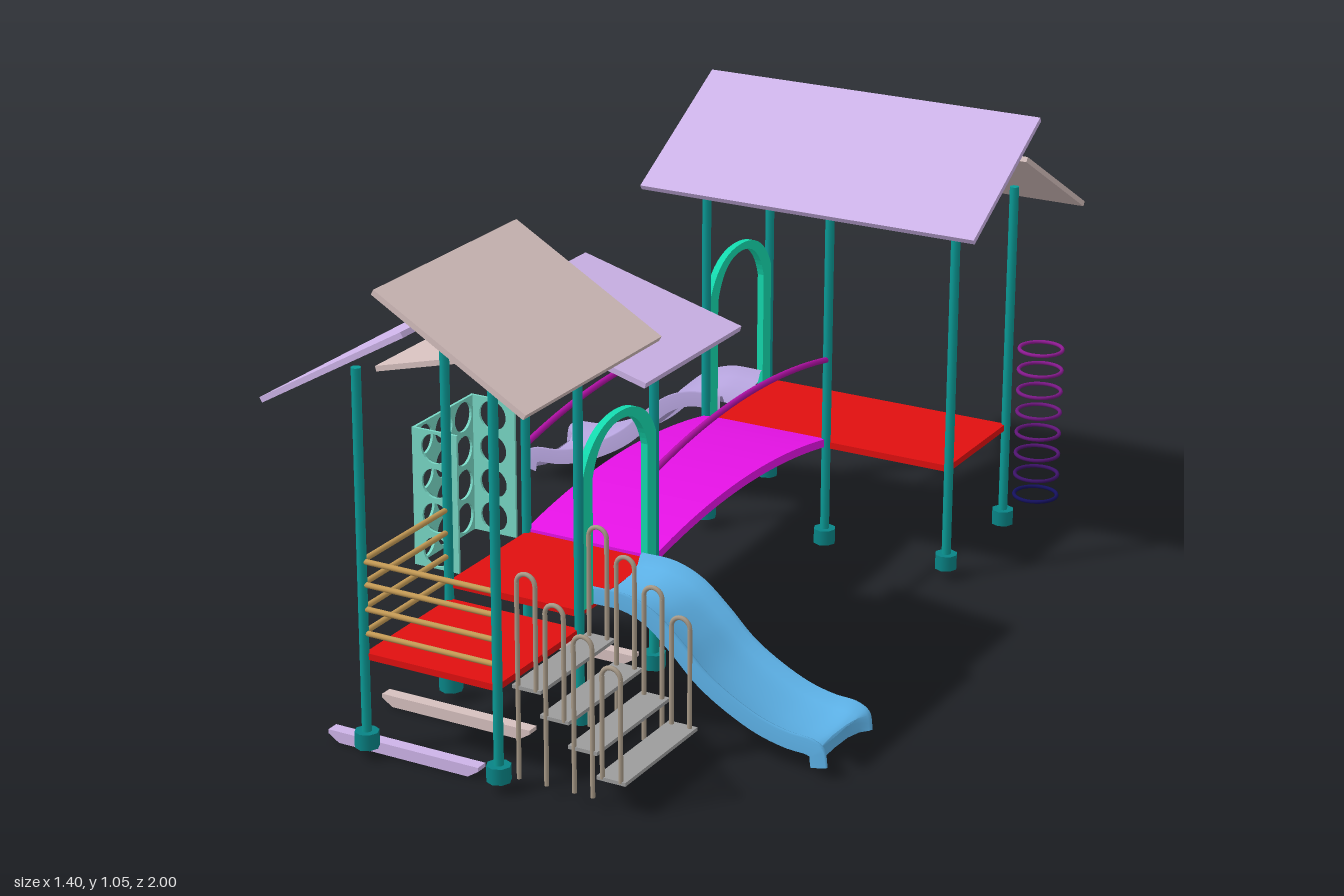
import * as THREE from 'three';

const mat = (color, side = THREE.FrontSide) => new THREE.MeshStandardMaterial({ color, side });
const TEAL = mat(0x0a9a96), FOOT = mat(0x088486), RED = mat(0xe01010), LAVENDER = mat(0xcdb3e8),
  PINK = mat(0xd6c0be), GREEN = mat(0x14dcb0), MAGENTA = mat(0xe612e6), RAIL = mat(0xb010a4),
  ORANGE = mat(0xc49a55), GREY = mat(0x9c9c9c), ROD = mat(0xa89a88), BUBBLE = mat(0x78d8c6),
  BLUE = mat(0x5db2e8, THREE.DoubleSide), LILAC = mat(0xb5a3dc, THREE.DoubleSide);

const V = (x, y, z) => new THREE.Vector3(x, y, z);

export function createModel() {
  const model = new THREE.Group();

  function add(name, geo, material, pos = [0, 0, 0], parent = model) {
    const m = new THREE.Mesh(geo, material);
    m.name = name;
    m.position.set(...pos);
    parent.add(m);
    return m;
  }
  // Box given by its min and max corners
  const box = (name, material, x0, x1, y0, y1, z0, z1) =>
    add(name, new THREE.BoxGeometry(x1 - x0, y1 - y0, z1 - z0), material,
      [(x0 + x1) / 2, (y0 + y1) / 2, (z0 + z1) / 2]);
  // Straight round bar between two points
  function bar(name, a, b, r, material) {
    const m = add(name, new THREE.CylinderGeometry(r, r, a.distanceTo(b), 10), material);
    m.position.copy(a).lerp(b, 0.5);
    m.quaternion.setFromUnitVectors(V(0, 1, 0), b.clone().sub(a).normalize());
  }

  // Posts with footings: x, z, top
  const L = -0.16, R = 0.155, FAR = 0.465;
  const posts = [
    [L, 0.9, 0.84], [R, 0.9, 0.895], [L, 0.585, 0.84], [R, 0.585, 0.895],
    [L, 0.277, 0.735], [R, 0.277, 0.8],
    [L, -0.52, 0.895], [R, -0.52, 0.895], [FAR, -0.52, 0.895], [L, -0.83, 0.845], [FAR, -0.83, 0.845],
  ];
  for (const [x, z, top] of posts) {
    bar('post', V(x, 0.025, z), V(x, top, z), 0.0105, TEAL);
    add('postFooting', new THREE.CylinderGeometry(0.026, 0.026, 0.035, 8), FOOT, [x, 0.04, z]);
  }

  // Decks
  box('frontDeck', RED, L, R, 0.216, 0.23, 0.585, 0.9);
  box('middleDeck', RED, L, R, 0.255, 0.27, 0.277, 0.585);
  box('backDeck', RED, L, FAR, 0.255, 0.27, -0.83, -0.52);

  // Roofs: tilted panels described by their end points, across a given depth
  function roofPanel(parent, x0, y0, x1, y1, z0, z1, material) {
    const t = 0.012;
    const m = add('roofPanel', new THREE.BoxGeometry(Math.hypot(x1 - x0, y1 - y0), t, z1 - z0), material,
      [(x0 + x1) / 2, (y0 + y1) / 2, (z0 + z1) / 2], parent);
    m.rotation.z = Math.atan2(y1 - y0, x1 - x0);
  }
  const roof = (name) => {
    const g = new THREE.Group();
    g.name = name;
    model.add(g);
    return g;
  };
  const frontRoof = roof('frontRoof');
  roofPanel(frontRoof, -0.318, 0.775, 0.017, 0.967, 0.485, 1, LAVENDER);
  roofPanel(frontRoof, -0.048, 1.042, 0.288, 0.85, 0.485, 1, PINK);
  const middleRoof = roof('middleRoof');
  roofPanel(middleRoof, -0.338, 0.702, 0.035, 0.8, 0.175, 0.572, PINK);
  roofPanel(middleRoof, -0.07, 0.88, 0.303, 0.78, 0.175, 0.572, LAVENDER);
  const backRoof = roof('backRoof');
  backRoof.rotation.y = -Math.PI / 2;
  roofPanel(backRoof, -0.727, 1.042, -0.392, 0.85, -0.567, 0.26, LAVENDER);
  roofPanel(backRoof, -0.997, 0.775, -0.66, 0.967, -0.567, 0.26, PINK);

  // Arched bridge deck, extruded across x
  const z0 = -0.52, z1 = 0.277, zc = (z0 + z1) / 2;
  const side = new THREE.Shape();
  side.moveTo(-z0, 0.277);
  side.quadraticCurveTo(-zc, 0.358, -z1, 0.277);
  side.lineTo(-z1, 0.258);
  side.quadraticCurveTo(-zc, 0.337, -z0, 0.258);
  const bridge = new THREE.ExtrudeGeometry(side, { depth: R - L, bevelEnabled: false, curveSegments: 20 });
  bridge.rotateY(Math.PI / 2);
  add('bridgeDeck', bridge, MAGENTA, [L, 0, 0]);
  for (const x of [L, R]) {
    const curve = new THREE.QuadraticBezierCurve3(V(x, 0.47, z0), V(x, 0.552, zc), V(x, 0.47, z1));
    add('bridgeRail', new THREE.TubeGeometry(curve, 24, 0.007, 8), RAIL);
  }

  // Slide: channel section swept along a falling path
  function slide(name, dir, z, material) {
    const path = new THREE.CatmullRomCurve3([
      [0.155, 0.305], [0.235, 0.303], [0.3, 0.279], [0.365, 0.226], [0.42, 0.173], [0.475, 0.136],
      [0.55, 0.1], [0.61, 0.085], [0.665, 0.08], [0.692, 0.064], [0.7, 0.025],
    ].map(([x, y]) => V(x, y, 0)));
    const half = [[-0.106, -0.037], [-0.106, -0.003], [-0.102, 0], [-0.094, -0.004], [-0.084, -0.022],
      [-0.055, -0.034]];
    const section = [...half, [0, -0.037], ...half.map(([w, h]) => [-w, h]).reverse()];
    const steps = 48, n = section.length, pos = [], idx = [];
    for (let i = 0; i <= steps; i++) {
      const p = path.getPoint(i / steps), t = path.getTangent(i / steps);
      for (const [w, h] of section) pos.push(dir * (p.x - t.y * h), p.y + t.x * h, z + w);
    }
    for (let i = 0; i < steps; i++) for (let j = 0; j < n - 1; j++) {
      const a = i * n + j, b = a + 1, c = a + n, d = c + 1;
      if (dir > 0) idx.push(a, b, c, b, d, c);
      else idx.push(a, c, b, b, c, d);
    }
    const geo = new THREE.BufferGeometry();
    geo.setAttribute('position', new THREE.Float32BufferAttribute(pos, 3));
    geo.setIndex(idx);
    geo.computeVertexNormals();
    add(name, geo, material);
  }
  slide('rightHandSlide', 1, 0.43, BLUE);
  slide('leftHandSlide', -1, -0.685, LILAC);

  // Arched gateways over the slides
  function gateway(x, z) {
    const s = new THREE.Shape();
    s.moveTo(-0.15, 0.27);
    s.lineTo(-0.15, 0.56);
    s.quadraticCurveTo(-0.11, 0.655, 0, 0.655);
    s.quadraticCurveTo(0.11, 0.655, 0.15, 0.56);
    s.lineTo(0.15, 0.27);
    s.lineTo(0.112, 0.27);
    s.lineTo(0.112, 0.545);
    s.quadraticCurveTo(0.085, 0.637, 0, 0.637);
    s.quadraticCurveTo(-0.085, 0.637, -0.112, 0.545);
    s.lineTo(-0.112, 0.27);
    const geo = new THREE.ExtrudeGeometry(s, { depth: 0.016, bevelEnabled: false, curveSegments: 12 });
    geo.rotateY(Math.PI / 2);
    add('gateway', geo, GREEN, [x - 0.008, 0, z]);
  }
  gateway(R, 0.43);
  gateway(L, -0.675);

  // Play bay walls pierced by round holes
  function piercedWall(width, cols) {
    const s = new THREE.Shape([[0, 0.27], [width, 0.27], [width, 0.578], [0, 0.578]]
      .map(([x, y]) => new THREE.Vector2(x, y)));
    for (let c = 0; c < cols; c++) for (let r = 0; r < 4; r++) {
      const h = new THREE.Path();
      h.absarc(width * (c + 0.5) / cols, 0.308 + r * 0.077, 0.033, 0, Math.PI * 2, true);
      s.holes.push(h);
    }
    return new THREE.ExtrudeGeometry(s, { depth: 0.006, bevelEnabled: false, curveSegments: 12 });
  }
  for (const z of [0.314, 0.54]) add('bayEndWall', piercedWall(0.11, 1), BUBBLE, [-0.27, 0, z]);
  add('bayOuterWall', piercedWall(0.226, 3).rotateY(Math.PI / 2), BUBBLE, [-0.27, 0, 0.546]);

  // Guard rungs around the front deck
  for (const y of [0.274, 0.327, 0.38, 0.43]) {
    bar('guardRung', V(L, y, 0.9), V(R, y, 0.9), 0.006, ORANGE);
    bar('guardRung', V(L, y, 0.585), V(L, y, 0.9), 0.006, ORANGE);
  }

  // Stairs with hooped handrails on both sides
  for (let i = 0; i < 4; i++) {
    const x = 0.188 + i * 0.064, y = 0.225 - i * 0.051, top = 0.47 - i * 0.052, w = 0.042;
    box('stairTread', GREY, x - 0.012, x + 0.054, y - 0.004, y + 0.004, 0.59, 0.88);
    for (const z of [0.601, 0.877]) {
      const r = w / 2, cy = top - r;
      bar('handrailPost', V(x, i < 3 ? 0.025 : y, z), V(x, cy, z), 0.005, ROD);
      bar('handrailPost', V(x + w, i === 2 ? 0.025 : y, z), V(x + w, cy, z), 0.005, ROD);
      add('handrailHoop', new THREE.TorusGeometry(r, 0.005, 8, 14, Math.PI), ROD, [x + r, cy, z]);
    }
  }

  // Ring climber at the back corner, fading from purple to navy
  for (let i = 0; i < 8; i++) {
    const c = new THREE.Color(0x14105e).lerp(new THREE.Color(0x8c1a90), i / 7);
    const ring = add('climberRing', new THREE.TorusGeometry(0.05, 0.0045, 8, 28), mat(c),
      [0.522, 0.086 + i * 0.0516, -0.886]);
    ring.rotation.x = Math.PI / 2;
  }

  // Low balance beams with chamfered undersides
  const beam = new THREE.Shape([[-0.27, 0.025], [-0.27, 0.016], [-0.245, 0], [0.067, 0], [0.092, 0.016], [0.092, 0.025]]
    .map(([x, y]) => new THREE.Vector2(x, y)));
  [[0.865, LAVENDER], [0.668, PINK], [0.245, PINK]].forEach(([z, m]) =>
    add('balanceBeam', new THREE.ExtrudeGeometry(beam, { depth: 0.028, bevelEnabled: false }), m, [0, 0, z - 0.014]));

  return model;
}
